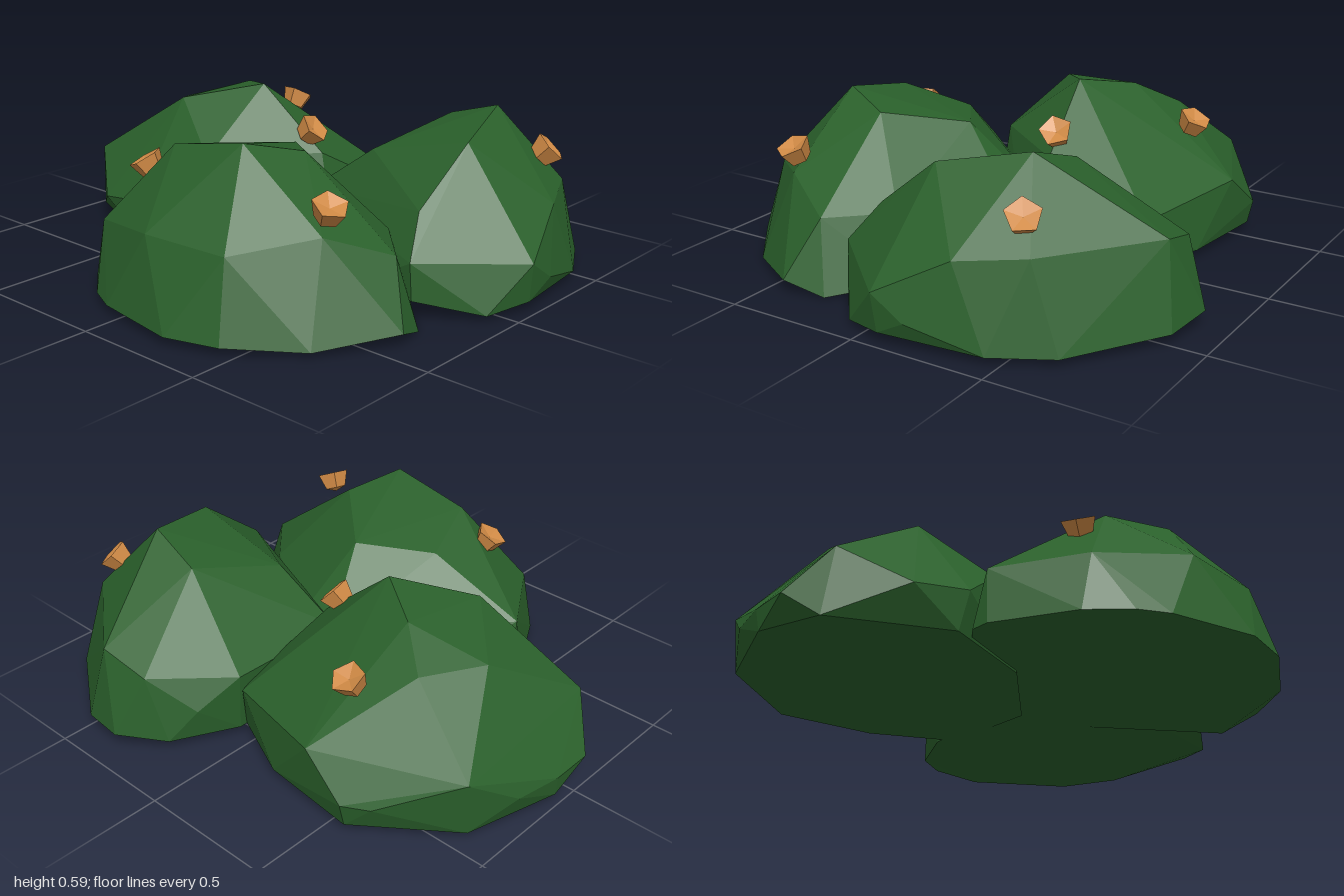
import * as THREE from 'three';
import { ConvexGeometry } from 'three/addons/geometries/ConvexGeometry.js';

const leafMat = new THREE.MeshStandardMaterial({ color: 0x2a602b, flatShading: true });
const flowerMat = new THREE.MeshStandardMaterial({ color: 0xd08a45, flatShading: true, side: THREE.DoubleSide });

// Each bush is a faceted convex mound: crown, shoulder and base corners [x, y, z]
const bushes = {
  rightBush: [
    [-0.55, 0.59, 0.28], [-0.55, 0.53, -0.04], [-0.35, 0.54, 0.37], [-0.13, 0.48, 0.13],
    [-0.3, 0.46, -0.12], [-0.82, 0.31, 0.1], [-0.78, 0.3, 0.42], [-0.55, 0.35, 0.62],
    [-0.33, 0.26, 0.74], [-0.14, 0.26, 0.56], [-0.7, 0.25, -0.25], [-0.4, 0.25, -0.44],
    [0.08, 0.25, 0.2], [0.12, 0.22, 0.03], [-0.35, 0.04, -0.46], [-0.42, 0.04, -0.455],
    [-0.7, 0.03, -0.3], [-0.81, 0.03, -0.17], [-0.86, 0.03, -0.06], [-0.91, 0.03, 0.27],
    [-0.85, 0.03, 0.46], [-0.67, 0.02, 0.68], [-0.42, 0.05, 0.845], [-0.28, 0, 0.8],
    [-0.08, 0.03, 0.6], [0.12, 0.03, 0.3], [0.18, 0.03, 0.08], [0, 0.03, -0.2],
  ],
  backBush: [
    [0.11, 0.59, -0.25], [-0.08, 0.53, -0.5], [0.24, 0.55, -0.45], [0.15, 0.46, -0.72],
    [0.36, 0.46, -0.6], [-0.17, 0.28, -0.88], [0.46, 0.24, -0.9], [0.68, 0.25, -0.4],
    [0.55, 0.2, 0.04], [0.39, 0.22, 0.08], [0.14, 0.36, 0.02], [-0.2, 0.36, -0.25],
    [-0.35, 0.18, -0.47], [-0.33, 0.15, -0.68], [-0.05, 0.12, -1], [0.11, 0.12, -1],
    [0.28, 0.12, -0.97], [0.65, 0.12, -0.66], [0.7, 0.12, -0.57], [0.64, 0.03, -0.2],
    [0.52, 0.03, 0.06], [0.68, 0.03, -0.57], [0.44, 0.03, -0.89], [0.1, 0.04, -0.99],
    [-0.15, 0.03, -0.91], [-0.33, 0.03, -0.5], [-0.2, 0.02, -0.15], [0.1, 0.02, 0.12],
    [0.35, 0.03, 0.12],
  ],
  leftBush: [
    [0.43, 0.59, 0.6], [0.12, 0.53, 0.69], [0.46, 0.52, 0.38], [0.12, 0.43, 0.28],
    [0.83, 0.33, 0.44], [0.81, 0.28, 0.25], [0.33, 0.31, 0.91], [0.55, 0.33, 0.81],
    [-0.12, 0.34, 0.67], [-0.23, 0.2, 0.72], [0.08, 0.25, 0.04], [0.55, 0.25, 0.05],
    [0.7, 0.15, 0.11], [0.91, 0.06, 0.32], [0.88, 0.04, 0.5], [0.66, 0.03, 0.82],
    [0.46, 0.03, 0.93], [0.2, 0.1, 0.99], [0.08, 0.18, 0.995], [0.09, 0.04, 0.98],
    [-0.07, 0.02, 0.92], [-0.23, 0.07, 0.73], [-0.18, 0.03, 0.42], [0.03, 0.03, 0.06],
    [0.55, 0.03, 0.06], [0.79, 0.04, 0.17],
  ],
};

// Flower positions and the direction each one faces
const flowers = [
  { at: [-0.56, 0.44, -0.17], face: [-0.25, 0.8, -0.4] },
  { at: [-0.53, 0.44, 0.63], face: [-0.15, 0.8, 0.4] },
  { at: [0.5, 0.44, -0.43], face: [0.45, 0.8, 0.05] },
  { at: [0.14, 0.44, -0.03], face: [0.2, 0.7, 0.7] },
  { at: [0.5, 0.44, 0.77], face: [0.4, 0.7, 0.6] },
];

// Five-sided cup with a sunken centre
function flowerGeometry() {
  const profile = [[0, -0.055], [0.042, -0.04], [0.063, 0.022], [0, 0.005]]
    .map(([r, y]) => new THREE.Vector2(r, y));
  return new THREE.LatheGeometry(profile, 5);
}

export function createModel() {
  const model = new THREE.Group();
  model.name = 'bushCluster';

  for (const [name, corners] of Object.entries(bushes)) {
    const points = corners.map((c) => new THREE.Vector3(...c));
    const bush = new THREE.Mesh(new ConvexGeometry(points), leafMat);
    bush.name = name;
    model.add(bush);
  }

  const cup = flowerGeometry();
  const up = new THREE.Vector3(0, 1, 0);
  flowers.forEach(({ at, face }, i) => {
    const flower = new THREE.Mesh(cup, flowerMat);
    flower.name = `flower${i + 1}`;
    flower.position.set(...at);
    flower.quaternion.setFromUnitVectors(up, new THREE.Vector3(...face).normalize());
    model.add(flower);
  });

  return model;
}
